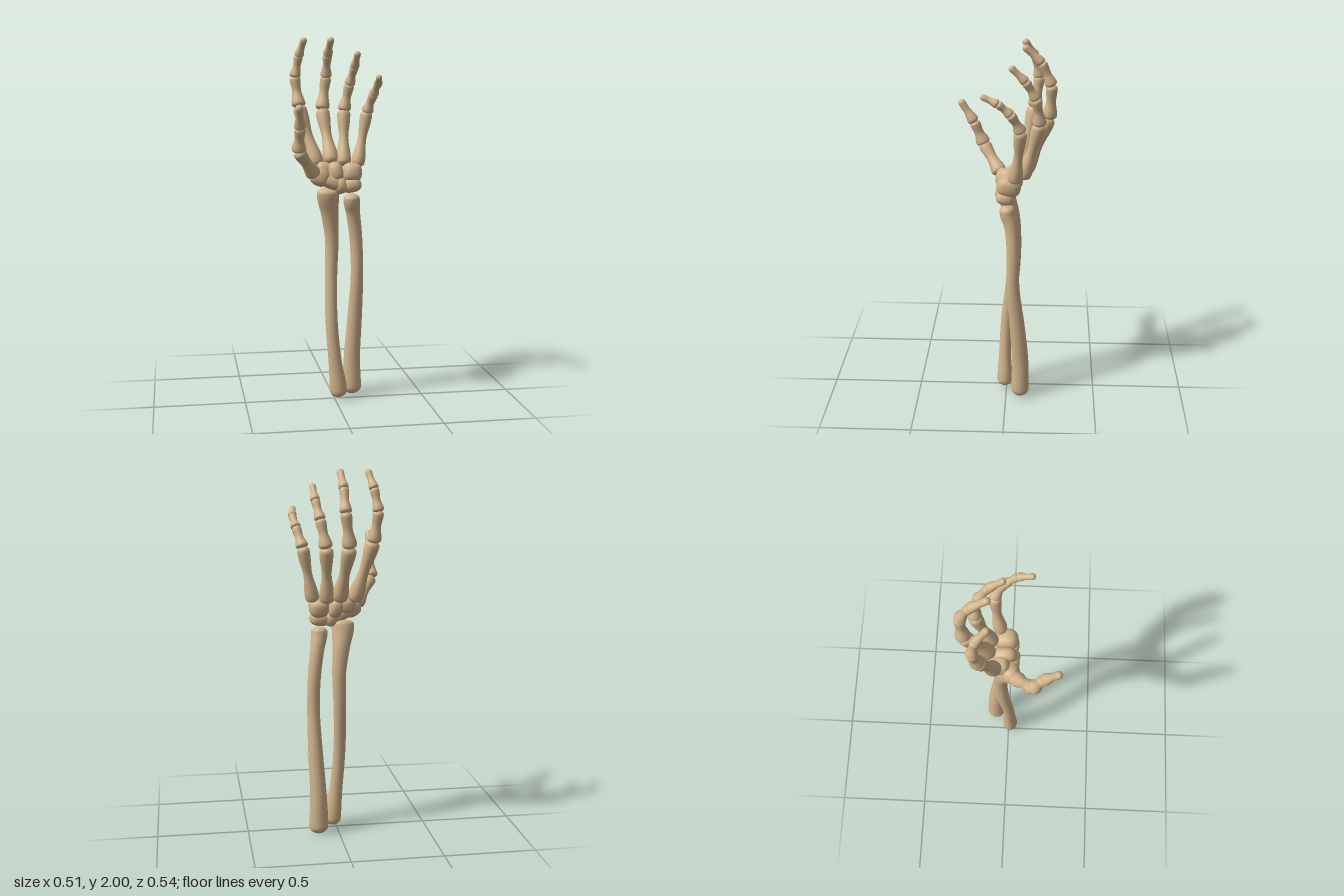
import * as THREE from 'three';
import { mergeVertices } from 'three/addons/utils/BufferGeometryUtils.js';

const boneMat = new THREE.MeshStandardMaterial({ color: 0xd2b48c });
boneMat.name = 'bone tan';

// Closed, smooth bone swept through stations [x, y, z, rx, rz], with rounded ends
function sweepBone(name, stations, capStart = 0.6, capEnd = 0.6, rings = 30, sides = 18) {
  const path = new THREE.CatmullRomCurve3(stations.map(s => new THREE.Vector3(s[0], s[1], s[2])));
  const size = new THREE.CatmullRomCurve3(
    stations.map((s, i) => new THREE.Vector3(s[3], s[4] ?? s[3], i * 0.05)));
  const ts = [], pts = [], dist = [0];
  for (let i = 0; i <= rings; i++) {
    ts.push((1 - Math.cos(Math.PI * i / rings)) / 2);
    pts.push(path.getPoint(ts[i]));
    if (i) dist.push(dist[i - 1] + pts[i].distanceTo(pts[i - 1]));
  }
  const total = dist[rings];
  const round = (d, c) => (d >= c ? 1 : Math.sqrt(Math.max(0, 1 - ((c - d) / c) ** 2)));
  const first = stations[0][3] * capStart, last = stations[stations.length - 1][3] * capEnd;
  const pos = [], index = [];
  for (let i = 0; i <= rings; i++) {
    const t = path.getTangent(ts[i]);
    const u = new THREE.Vector3(1, 0, 0).addScaledVector(t, -t.x).normalize();
    const v = new THREE.Vector3().crossVectors(t, u);
    const r = size.getPoint(ts[i]);
    const k = i === 0 || i === rings ? 0 : round(dist[i], first) * round(total - dist[i], last);
    for (let j = 0; j < sides; j++) {
      const a = j / sides * Math.PI * 2;
      const p = pts[i].clone().addScaledVector(u, Math.cos(a) * r.x * k).addScaledVector(v, Math.sin(a) * r.y * k);
      pos.push(p.x, p.y, p.z);
      if (i < rings) {
        const b = i * sides + j, c = i * sides + (j + 1) % sides;
        index.push(b, c, b + sides, c, c + sides, b + sides);
      }
    }
  }
  let geo = new THREE.BufferGeometry();
  geo.setAttribute('position', new THREE.Float32BufferAttribute(pos, 3));
  geo.setIndex(index);
  geo = mergeVertices(geo, 1e-5);
  geo.computeVertexNormals();
  const mesh = new THREE.Mesh(geo, boneMat);
  mesh.name = name;
  return mesh;
}

// Finger bone between two joints: flared ends, slim shaft, slight bow to the back
function fingerBone(name, from, to, base, shaft, head, bow = 0, isTip = false) {
  const a = new THREE.Vector3(...from), b = new THREE.Vector3(...to);
  const dir = b.clone().sub(a).normalize();
  a.addScaledVector(dir, -0.006);
  if (!isTip) b.addScaledVector(dir, 0.006);
  const profile = [[0, base * 0.94], [0.17, base], [0.5, shaft], [0.8, head * 0.94], [1, head]];
  const stations = profile.map(([t, r]) => {
    const p = a.clone().lerp(b, t);
    return [p.x, p.y, p.z - bow * Math.sin(Math.PI * t), r, r];
  });
  return sweepBone(name, stations, 0.6, isTip ? 1 : 0.7, 24, 16);
}

// Joint positions run from wrist to fingertip
const fingers = {
  index: { thick: 1, joints: [[-0.085, 1.31, -0.065], [-0.175, 1.63, -0.14], [-0.195, 1.79, -0.165], [-0.175, 1.905, -0.145], [-0.15, 2.0, -0.085]] },
  middle: { thick: 1.03, joints: [[0.0, 1.32, -0.095], [-0.035, 1.61, -0.22], [-0.012, 1.79, -0.232], [-0.01, 1.91, -0.18], [-0.004, 2.0, -0.085]] },
  ring: { thick: 0.97, joints: [[0.065, 1.31, -0.085], [0.08, 1.605, -0.172], [0.108, 1.75, -0.152], [0.127, 1.845, -0.1], [0.132, 1.925, -0.02]] },
  little: { thick: 0.88, joints: [[0.135, 1.31, -0.045], [0.192, 1.6, -0.077], [0.22, 1.7, -0.026], [0.232, 1.757, 0.037], [0.22, 1.795, 0.123]] },
};

// Small wrist bone: a sphere pushed toward a rounded block
function wristBone(name, [x, y, z], [rx, ry, rz], tilt) {
  let geo = new THREE.SphereGeometry(1, 20, 14);
  geo.deleteAttribute('normal');
  geo.deleteAttribute('uv');
  const p = geo.attributes.position;
  const puff = c => Math.sign(c) * Math.abs(c) ** 0.8;
  for (let i = 0; i < p.count; i++) {
    p.setXYZ(i, puff(p.getX(i)) * rx, puff(p.getY(i)) * ry, puff(p.getZ(i)) * rz);
  }
  geo = mergeVertices(geo, 1e-5);
  geo.computeVertexNormals();
  const mesh = new THREE.Mesh(geo, boneMat);
  mesh.name = name;
  mesh.position.set(x, y, z);
  mesh.rotation.set(-0.2, 0, tilt);
  return mesh;
}

export function createModel() {
  const model = new THREE.Group();
  model.name = 'skeletonForearm';

  // Forearm bones
  const forearm = new THREE.Group();
  forearm.name = 'forearm';
  forearm.add(
    sweepBone('radiusBone', [
      [0.024, 0.015, 0.01, 0.047, 0.042], [0.018, 0.09, 0.01, 0.047, 0.042], [0.002, 0.22, 0.01, 0.037, 0.034],
      [-0.016, 0.45, -0.002, 0.034, 0.033], [-0.014, 0.7, -0.034, 0.035, 0.036], [-0.008, 0.9, -0.042, 0.038, 0.038],
      [-0.022, 1.05, -0.028, 0.048, 0.043], [-0.034, 1.14, -0.005, 0.061, 0.046], [-0.036, 1.195, 0.006, 0.062, 0.043],
    ], 0.8, 0.4, 44),
    sweepBone('ulnaBone', [
      [0.113, 0.005, -0.08, 0.054, 0.05], [0.112, 0.08, -0.08, 0.053, 0.05], [0.113, 0.22, -0.08, 0.046, 0.047],
      [0.125, 0.45, -0.063, 0.041, 0.042], [0.133, 0.7, -0.038, 0.035, 0.036], [0.127, 0.9, -0.04, 0.036, 0.036],
      [0.108, 1.05, -0.026, 0.039, 0.037], [0.097, 1.11, -0.008, 0.045, 0.041], [0.094, 1.16, 0, 0.046, 0.041],
    ], 0.8, 0.6, 44));
  model.add(forearm);

  // Wrist
  const wrist = new THREE.Group();
  wrist.name = 'wrist';
  wrist.add(
    wristBone('trapezium', [-0.085, 1.255, 0.02], [0.052, 0.048, 0.045], -0.5),
    wristBone('trapezoid', [-0.055, 1.285, -0.035], [0.046, 0.048, 0.045], -0.2),
    wristBone('capitate', [0.008, 1.275, -0.02], [0.042, 0.06, 0.068], 0.2),
    wristBone('hamate', [0.098, 1.272, -0.015], [0.055, 0.056, 0.065], -0.1),
    wristBone('scaphoid', [-0.025, 1.225, 0.015], [0.068, 0.034, 0.045], -0.45),
    wristBone('lunate', [0.03, 1.205, 0.01], [0.038, 0.044, 0.052], 0.3),
    wristBone('triquetrum', [0.093, 1.205, 0.005], [0.055, 0.038, 0.05], 0.15));
  model.add(wrist);

  // Four fingers, each with a palm bone and three finger bones
  for (const [name, { thick: k, joints: j }] of Object.entries(fingers)) {
    const finger = new THREE.Group();
    finger.name = name + 'Finger';
    finger.add(
      fingerBone('palmBone', j[0], j[1], 0.042 * k, 0.027 * k, 0.039 * k, 0.004),
      fingerBone('lowerBone', j[1], j[2], 0.038 * k, 0.025 * k, 0.031 * k, 0.004),
      fingerBone('middleBone', j[2], j[3], 0.031 * k, 0.021 * k, 0.026 * k, 0.002),
      fingerBone('tipBone', j[3], j[4], 0.026 * k, 0.018 * k, 0.02 * k, 0, true));
    model.add(finger);
  }

  // Thumb
  const thumb = new THREE.Group();
  thumb.name = 'thumb';
  const t = [[-0.115, 1.27, 0.04], [-0.213, 1.405, 0.135], [-0.211, 1.53, 0.187], [-0.224, 1.65, 0.265]];
  thumb.add(
    fingerBone('palmBone', t[0], t[1], 0.041, 0.029, 0.037),
    fingerBone('lowerBone', t[1], t[2], 0.039, 0.026, 0.031),
    fingerBone('tipBone', t[2], t[3], 0.031, 0.021, 0.022, 0, true));
  model.add(thumb);

  return model;
}
